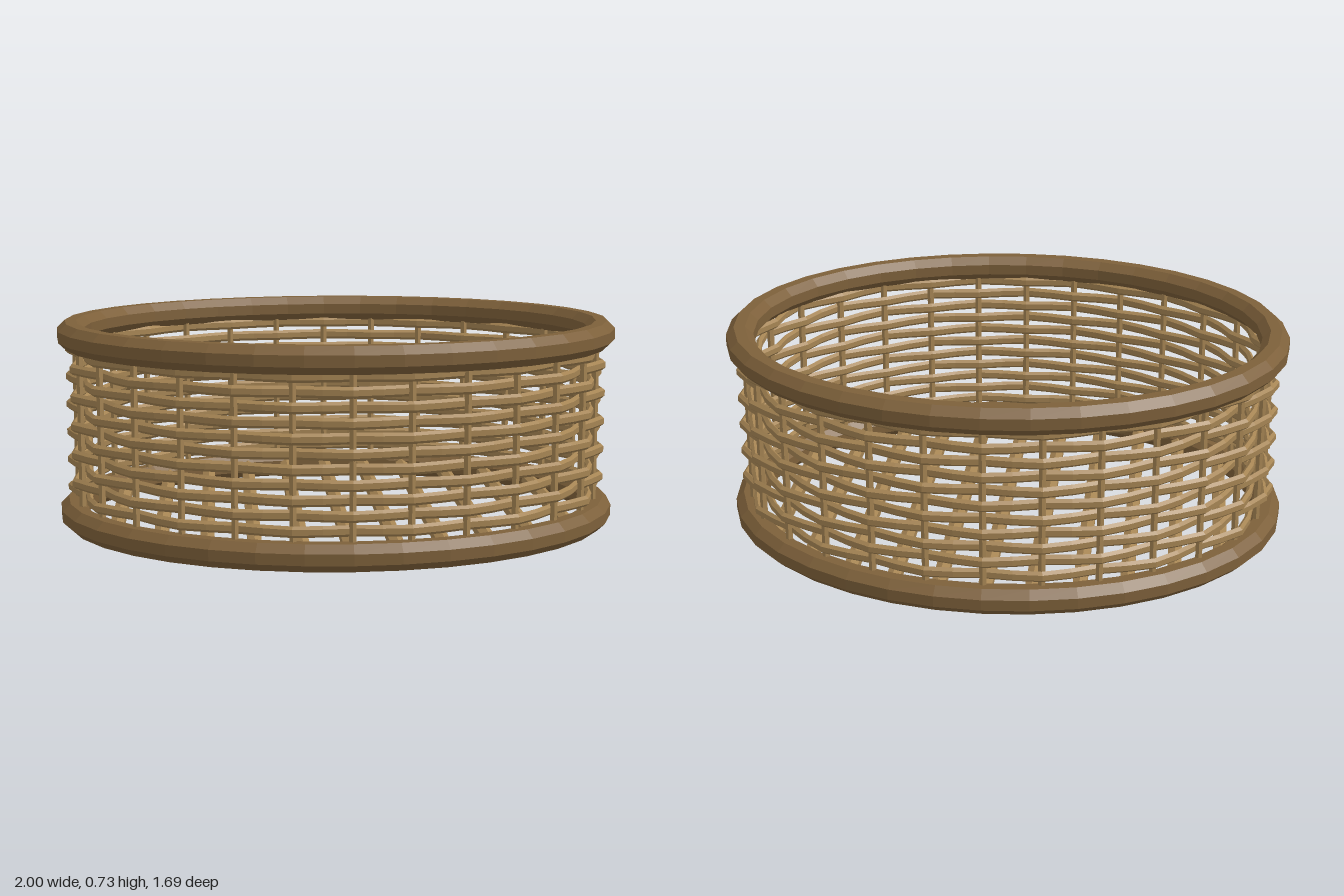
import * as THREE from 'three';

const rimMaterial = new THREE.MeshStandardMaterial({ color: 0x7d603a, flatShading: true });
const caneMaterial = new THREE.MeshStandardMaterial({ color: 0xa58453, flatShading: true });

const STAKES = 28;
const ROWS = 11;

// Points evenly spaced along an oval, each with its outward direction
function ovalPoints(rx, rz, count) {
  const curve = new THREE.EllipseCurve(0, 0, rx, rz);
  return Array.from({ length: count }, (_, i) => {
    const p = curve.getPointAt(i / count);
    const n = new THREE.Vector2(p.x / (rx * rx), p.y / (rz * rz)).normalize();
    return { x: p.x, z: p.y, nx: n.x, nz: n.y };
  });
}

// Closed hoop: an n-sided section (half width w, half height h) swept round the oval
function hoop(points, w, h, sides, offset = () => 0) {
  const position = [];
  const index = [];
  // Scale so the flats of the polygon touch the given half sizes
  const flat = 1 / Math.cos(Math.PI / sides);
  points.forEach((p, i) => {
    for (let j = 0; j < sides; j++) {
      const a = ((j + 0.5) / sides) * Math.PI * 2;
      const u = Math.cos(a) * w * flat + offset(i, p);
      position.push(p.x + p.nx * u, Math.sin(a) * h * flat, p.z + p.nz * u);
      const i2 = (i + 1) % points.length;
      const j2 = (j + 1) % sides;
      const A = i * sides + j, B = i * sides + j2, C = i2 * sides + j2, D = i2 * sides + j;
      index.push(A, B, D, B, C, D);
    }
  });
  const geometry = new THREE.BufferGeometry();
  geometry.setAttribute('position', new THREE.Float32BufferAttribute(position, 3));
  geometry.setIndex(index);
  geometry.computeVertexNormals();
  return geometry;
}

function addMesh(parent, name, geometry, material, x = 0, y = 0, z = 0) {
  const mesh = new THREE.Mesh(geometry, material);
  mesh.name = name;
  mesh.position.set(x, y, z);
  parent.add(mesh);
  return mesh;
}

export function createModel() {
  const basket = new THREE.Group();
  basket.name = 'wovenBasket';

  // Thick octagonal rims at the foot and the mouth
  const rim = hoop(ovalPoints(0.95, 0.795, 36), 0.048, 0.046, 8);
  addMesh(basket, 'bottomRim', rim, rimMaterial, 0, 0.046);
  addMesh(basket, 'topRim', rim, rimMaterial, 0, 0.684);

  // Woven strands pass alternately outside and inside the stakes
  const weave = new THREE.Group();
  weave.name = 'wovenStrands';
  basket.add(weave);
  const path = ovalPoints(0.934, 0.779, STAKES * 2);
  const strands = [1, -1].map((side) =>
    hoop(path, 0.011, 0.0165, 6, (i, p) => {
      const swing = 0.012 + 0.014 * Math.abs(p.nx) ** 3;
      return side * swing * Math.cos((i * Math.PI) / 2);
    }));
  for (let r = 0; r < ROWS; r++) {
    addMesh(weave, 'strand', strands[r % 2], caneMaterial, 0, 0.125 + r * 0.0503);
  }

  // Upright stakes between the rims
  const stakes = new THREE.Group();
  stakes.name = 'stakes';
  basket.add(stakes);
  const stake = new THREE.CylinderGeometry(0.013, 0.013, 0.62, 6);
  for (const p of ovalPoints(0.934, 0.779, STAKES)) {
    addMesh(stakes, 'stake', stake, caneMaterial, p.x, 0.365, p.z);
  }

  // Parallel floor slats, cut to the oval
  const floor = new THREE.Group();
  floor.name = 'floorSlats';
  basket.add(floor);
  for (let i = -5; i <= 5; i++) {
    const x = i * 0.156;
    const length = 2 * 0.785 * Math.sqrt(1 - (x / 0.94) ** 2);
    const slat = new THREE.CylinderGeometry(0.027, 0.027, length, 6).rotateX(Math.PI / 2);
    addMesh(floor, 'slat', slat, caneMaterial, x, 0.046, 0);
  }

  return basket;
}
